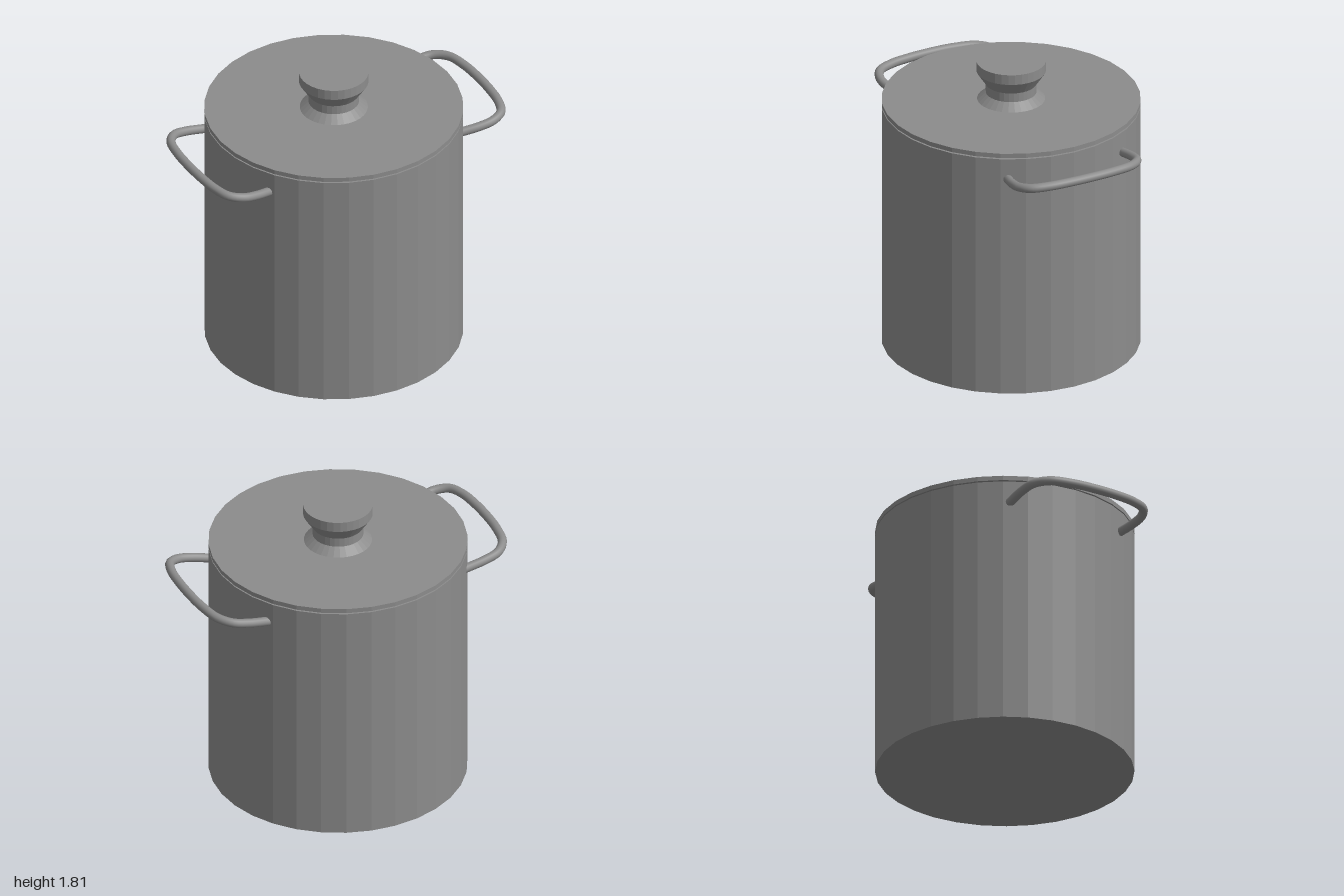
import * as THREE from 'three';

const SIDES = 32;
const RADIUS = 0.763;
const STEEL = 0x8c8c8c;

const flat = () => new THREE.MeshStandardMaterial({ color: STEEL, flatShading: true });
const smooth = () => new THREE.MeshStandardMaterial({ color: STEEL });

function part(name, geometry, material) {
  const mesh = new THREE.Mesh(geometry, material);
  mesh.name = name;
  return mesh;
}

// Turned part; the profile runs counter-clockwise from the bottom axis outward and up
function lathe(name, profile) {
  const points = profile.map(([r, y]) => new THREE.Vector2(r, y));
  return part(name, new THREE.LatheGeometry(points, SIDES, Math.PI / 2), flat());
}

// Bent rod handle, rising gently away from the pot; side is +1 or -1
function handle(name, side) {
  const group = new THREE.Group();
  group.name = name;
  const plan = [
    [0.645, -0.383], [0.78, -0.383], [0.87, -0.363], [0.935, -0.29],
    [0.965, -0.15], [0.973, 0], [0.969, 0.15], [0.953, 0.28],
    [0.915, 0.375], [0.84, 0.413], [0.75, 0.408], [0.645, 0.382],
  ];
  const path = new THREE.CatmullRomCurve3(
    plan.map(([x, z]) => new THREE.Vector3(side * x, 1.395 + (x - 0.645) * 0.18, z)));
  const radius = 0.027;
  group.add(part('handleRod', new THREE.TubeGeometry(path, 64, radius, 14), smooth()));
  // Rounded rod ends
  for (const t of [0, 1]) {
    const end = part('handleEnd', new THREE.SphereGeometry(radius, 14, 8), smooth());
    end.position.copy(path.getPoint(t));
    group.add(end);
  }
  return group;
}

export function createModel() {
  const model = new THREE.Group();
  model.name = 'cookingPot';

  // Hollow body with a thin wall and base
  model.add(lathe('potBody', [
    [0, 0], [RADIUS, 0], [RADIUS, 1.527], [RADIUS - 0.02, 1.527], [RADIUS - 0.02, 0.02], [0, 0.02],
  ]));

  // Flat lid, held just above the rim
  model.add(lathe('lid', [[0, 1.535], [RADIUS, 1.535], [RADIUS, 1.563], [0, 1.563]]));

  // Knob: flared foot, narrow neck and wide grip
  model.add(lathe('lidKnob', [
    [0, 1.561], [0.203, 1.561], [0.15, 1.607], [0.15, 1.663],
    [0.205, 1.745], [0.205, 1.808], [0, 1.808],
  ]));

  model.add(handle('leftHandle', 1), handle('rightHandle', -1));
  return model;
}
